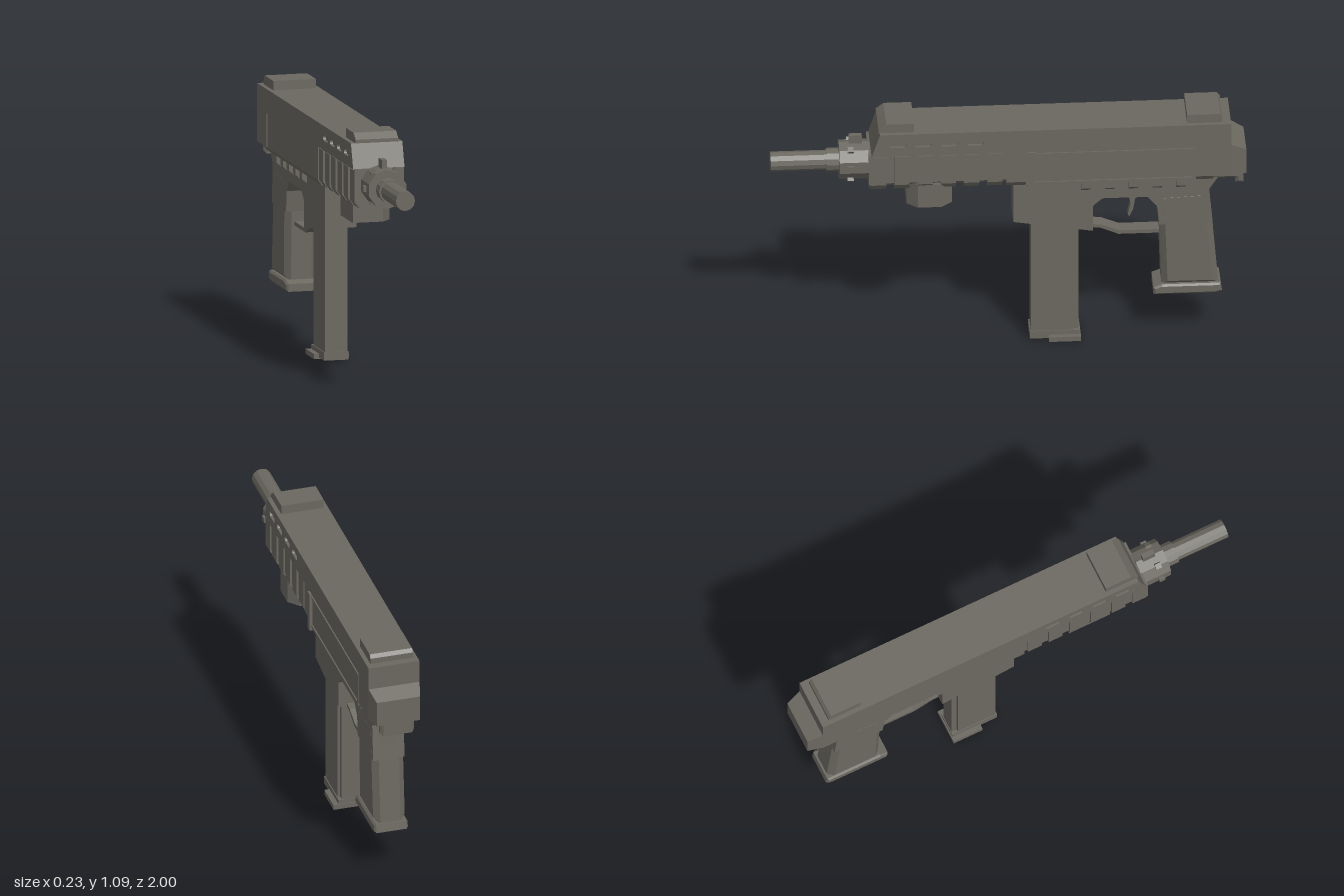
import * as THREE from 'three';

export function createModel() {
  const root = new THREE.Group();
  root.name = 'model';
  const gunmetal = new THREE.MeshStandardMaterial({ color: 0x6b6860 });
  gunmetal.name = 'gunmetal';

  // All parts are symmetric about a centre line slightly left of x = 0.
  const body = new THREE.Group();
  body.name = 'body';
  body.position.x = -0.006;
  root.add(body);

  const add = (name, geo) => {
    const mesh = new THREE.Mesh(geo, gunmetal);
    mesh.name = name;
    body.add(mesh);
    return mesh;
  };
  const flat = (geo) => {
    const g = geo.toNonIndexed();
    g.computeVertexNormals();
    return g;
  };
  const toShape = (pts) => new THREE.Shape(pts.map(([a, b]) => new THREE.Vector2(a, b)));
  const box = (name, x0, x1, y0, y1, z0, z1) =>
    add(name, new THREE.BoxGeometry(x1 - x0, y1 - y0, z1 - z0)
      .translate((x0 + x1) / 2, (y0 + y1) / 2, (z0 + z1) / 2));
  // Side outline in (z, y), extruded across x.
  const sideGeo = (shape, halfWidth, bevel = 0) => {
    const depth = 2 * (halfWidth - bevel);
    return new THREE.ExtrudeGeometry(shape, {
      depth, curveSegments: 6, bevelEnabled: bevel > 0, bevelSize: bevel,
      bevelOffset: -bevel, bevelThickness: bevel, bevelSegments: 1,
    }).translate(0, 0, -depth / 2).rotateY(-Math.PI / 2);
  };
  const side = (name, pts, halfWidth, bevel) => add(name, sideGeo(toShape(pts), halfWidth, bevel));
  // Cross-section in (x, y), extruded along z.
  const along = (name, pts, z0, z1) =>
    add(name, new THREE.ExtrudeGeometry(toShape(pts), { depth: z1 - z0, bevelEnabled: false })
      .translate(0, 0, z0));
  const section = (w, b, top, mid, low) =>
    [[-w, top], [-w, mid], [-b, low], [b, low], [w, mid], [w, top]];

  // Upper cover with a row of vent slots over a solid core
  const cover = toShape([[0.58, 0.945], [0.545, 1.05], [-0.935, 1.05], [-0.935, 0.945]]);
  for (const z of [0.47, 0.362, 0.252, 0.143]) {
    const slot = new THREE.Path();
    slot.absarc(z + 0.024, 1.0, 0.013, -Math.PI / 2, Math.PI / 2, false);
    slot.absarc(z - 0.024, 1.0, 0.013, Math.PI / 2, Math.PI * 1.5, false);
    slot.closePath();
    cover.holes.push(slot);
  }
  add('upperCover', sideGeo(cover, 0.112));
  box('coverCore', -0.1, 0.1, 0.96, 1.04, 0.06, 0.54);

  // Sights
  side('frontSight', [[0.55, 1.05], [0.55, 1.065], [0.517, 1.09], [0.4, 1.09], [0.4, 1.05]], 0.093);
  side('rearSight', [[-0.75, 1.05], [-0.75, 1.09], [-0.888, 1.09], [-0.9, 1.075], [-0.9, 1.05]], 0.093);

  // Receiver and tapered rear cap
  along('receiver', section(0.108, 0.09, 0.946, 0.8, 0.776), -0.86, 0.012);
  const cap = new THREE.BoxGeometry(0.224, 0.147, 0.066);
  const cp = cap.attributes.position;
  for (let i = 0; i < cp.count; i++) {
    if (cp.getZ(i) < 0) {
      cp.setX(i, cp.getX(i) * 0.85);
      if (cp.getY(i) > 0) cp.setY(i, cp.getY(i) - 0.033);
    }
  }
  add('rearCap', flat(cap).translate(0, 0.8755, -0.967));
  box('rearCapBase', -0.112, 0.112, 0.802, 0.949, -0.935, -0.79);
  side('rearLug', [[-0.85, 0.805], [-0.85, 0.765], [-0.955, 0.765], [-0.955, 0.742],
    [-0.99, 0.742], [-0.99, 0.805]], 0.075, 0.012);

  // Ribbed handguard
  along('handguard', section(0.1, 0.078, 0.946, 0.81, 0.79), 0.012, 0.58);
  for (let i = 0; i < 6; i++) {
    const z = 0.06 + i * 0.098;
    along('handguardRib', section(0.108, 0.088, 0.94, 0.805, 0.778), z - 0.032, z + 0.032);
  }
  along('handguardFrontPlate', section(0.106, 0.086, 0.946, 0.805, 0.78), 0.573, 0.59);

  // Block below the handguard, chamfered on its left face
  const lump = new THREE.ExtrudeGeometry(
    toShape([[-0.072, -0.43], [0.06, -0.43], [0.101, -0.385], [0.101, -0.285], [0.06, -0.238], [-0.072, -0.238]]),
    { depth: 0.11, bevelEnabled: false }).rotateX(-Math.PI / 2).translate(0, 0.688, 0);
  add('underBlock', lump);

  // Barrel, collar and nut with studs
  const axisY = 0.877;
  const rod = (name, r, z0, z1, sides) =>
    add(name, flat(new THREE.CylinderGeometry(r, r, z1 - z0, sides).rotateX(Math.PI / 2))
      .translate(0, axisY, (z0 + z1) / 2));
  rod('barrel', 0.042, 0.7, 1.0, 12);
  rod('barrelCollar', 0.05, 0.7, 0.765, 12);
  rod('barrelNut', 0.084, 0.585, 0.712, 10);
  box('nutPost', -0.011, 0.011, 0.94, 0.995, 0.615, 0.67);
  for (let i = 0; i < 6; i++) {
    const a = [0, Math.PI, 0.95, Math.PI - 0.95, -0.95, Math.PI + 0.95][i];
    const stud = add('nutStud', new THREE.BoxGeometry(0.024, 0.024, 0.026));
    stud.position.set(Math.cos(a) * 0.082, axisY + Math.sin(a) * 0.082, 0.665);
    stud.rotation.z = a;
  }

  // Magazine well, frame above the trigger, and grip
  side('frame', [[-0.02, 0.79], [-0.02, 0.585], [-0.355, 0.53], [-0.355, 0.65], [-0.395, 0.686],
    [-0.585, 0.686], [-0.625, 0.64], [-0.635, 0.55], [-0.86, 0.55], [-0.845, 0.715],
    [-0.885, 0.775], [-0.885, 0.79]], 0.069);
  side('grip', [[-0.63, 0.7], [-0.645, 0.25], [-0.885, 0.25], [-0.846, 0.71]], 0.0695, 0.025);
  side('gripBase', [[-0.61, 0.212], [-0.61, 0.245], [-0.645, 0.258], [-0.893, 0.258],
    [-0.899, 0.22], [-0.87, 0.212]], 0.074, 0.008);

  // Trigger and guard
  side('triggerGuard', [[-0.35, 0.542], [-0.395, 0.537], [-0.47, 0.507], [-0.65, 0.507],
    [-0.65, 0.49], [-0.465, 0.49], [-0.39, 0.522], [-0.35, 0.527]], 0.032);
  side('trigger', [[-0.5, 0.7], [-0.517, 0.63], [-0.505, 0.575], [-0.512, 0.567], [-0.528, 0.6],
    [-0.536, 0.65], [-0.555, 0.665], [-0.56, 0.7]], 0.018);

  // Magazine
  box('magazine', -0.049, 0.049, 0.02, 0.62, -0.272, -0.095);
  box('magazineSpine', -0.038, 0.038, 0.02, 0.62, -0.297, -0.27);
  box('magazineFoot', -0.053, 0.053, 0.008, 0.043, -0.3, -0.09);
  box('magazineFootPlate', -0.076, 0.076, 0.002, 0.024, -0.305, -0.17);

  // Tabs along both lower edges of the receiver
  for (const s of [-1, 1]) {
    for (let i = 0; i < 5; i++) {
      const z = -0.325 - i * 0.1;
      const tab = along('receiverTab', [[0.06, 0.79], [0.06, 0.732], [0.073, 0.732], [0.091, 0.748], [0.091, 0.79]],
        z - 0.02, z + 0.02);
      if (s < 0) {
        tab.rotation.y = Math.PI;
        tab.position.z = 2 * z;
      }
    }
  }

  // Framed side panel and bolt handle on the left side only
  box('sidePanel', 0.105, 0.1095, 0.802, 0.93, -0.775, -0.07);
  box('panelRimTop', 0.105, 0.114, 0.925, 0.938, -0.787, -0.07);
  box('panelRimBottom', 0.105, 0.114, 0.787, 0.8, -0.787, -0.07);
  box('panelRimRear', 0.105, 0.114, 0.787, 0.938, -0.787, -0.775);
  box('boltHandle', 0.1, 0.122, 0.772, 0.947, -0.107, -0.076);

  return root;
}
